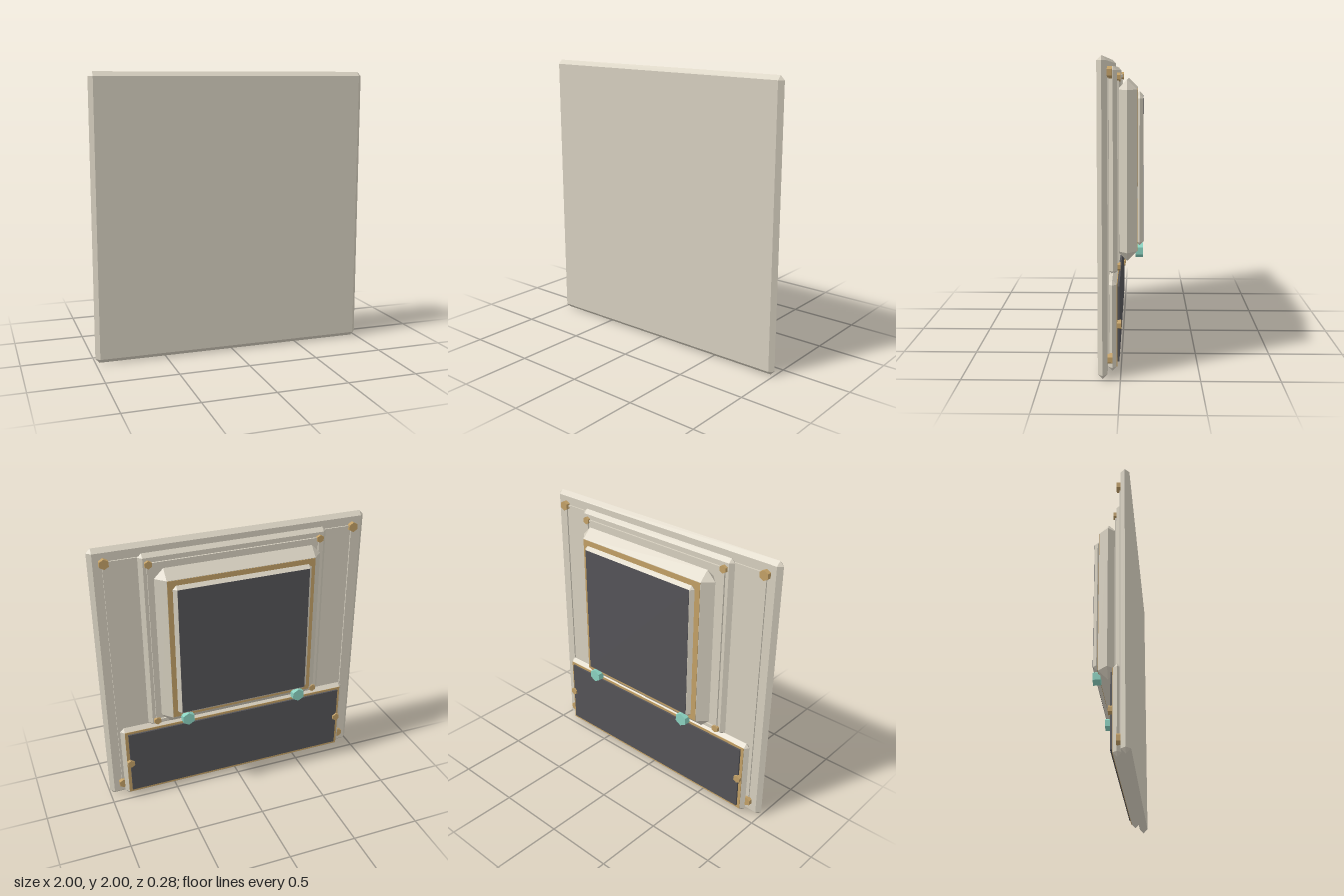
import * as THREE from 'three';
import { ConvexGeometry } from 'three/addons/geometries/ConvexGeometry.js';

const mat = (name, color) => {
  const m = new THREE.MeshStandardMaterial({ color });
  m.name = name;
  return m;
};

// Box with every edge cut by a chamfer b; the ends meet in a ridge when b is half the depth
function chamferBox(w, h, d, b) {
  const X = w / 2, Y = h / 2, Z = d / 2, pts = new Map();
  for (const i of [-1, 1]) for (const j of [-1, 1]) for (const k of [-1, 1]) {
    for (const p of [[X, Y - b, Z - b], [X - b, Y, Z - b], [X - b, Y - b, Z]]) {
      const v = new THREE.Vector3(i * p[0], j * p[1], k * p[2]);
      pts.set(v.toArray().map(n => Math.round(n * 1e4) + 0).join(), v);
    }
  }
  return new ConvexGeometry([...pts.values()]);
}

export function createModel() {
  const group = new THREE.Group();
  group.name = 'wallPanel';
  const cream = mat('cream', 0xd6cfbf);
  const brass = mat('brass', 0xc2a066);
  const dark = mat('darkGlass', 0x545357);
  const teal = mat('teal', 0x8ad2c0);

  const add = (name, geo, material, x, y, z) => {
    const mesh = new THREE.Mesh(geo, material);
    mesh.name = name;
    mesh.position.set(x, y, z);
    group.add(mesh);
  };
  // Slabs given by half width, y range and z range
  const slab = (name, hw, y0, y1, z0, z1) => add(name,
    chamferBox(hw * 2, y1 - y0, z1 - z0, (z1 - z0) / 2 - 1e-5), cream, 0, (y0 + y1) / 2, (z0 + z1) / 2);
  const plate = (name, material, hw, y0, y1, z0, z1) => add(name,
    new THREE.BoxGeometry(hw * 2, y1 - y0, z1 - z0), material, 0, (y0 + y1) / 2, (z0 + z1) / 2);
  // Six-sided studs along z, mirrored left and right
  const studs = (name, material, r, x, y, z0, z1) => {
    const geo = new THREE.CylinderGeometry(r, r, z1 - z0, 6).rotateX(Math.PI / 2).toNonIndexed();
    geo.computeVertexNormals();
    for (const s of [-1, 1]) add(name, geo, material, s * x, y, (z0 + z1) / 2);
  };
  // Thin raised trim around a rectangle
  const trim = (name, hw, y0, y1, z0, z1, t) => {
    const d = z1 - z0, z = (z0 + z1) / 2;
    for (const s of [-1, 1])
      add(name, new THREE.BoxGeometry(t, y1 - y0, d), cream, s * hw, (y0 + y1) / 2, z);
    for (const y of [y0, y1])
      add(name, new THREE.BoxGeometry(hw * 2 + t, t, d), cream, 0, y, z);
  };

  // Main board and its corner bolts
  slab('mainBoard', 1, 0, 2, 0.082, 0.142);
  trim('boardTrim', 0.9, 0.11, 1.9, 0.072, 0.084, 0.018);
  for (const y of [0.11, 1.9]) studs('boardBolt', brass, 0.036, 0.9, y, 0.052, 0.084);

  // Upper backing panel with trim and small bolts
  slab('upperPanel', 0.68, 0.59, 1.94, 0.028, 0.082);
  trim('upperTrim', 0.62, 0.64, 1.87, 0.016, 0.03, 0.018);
  for (const y of [0.64, 1.87]) studs('upperBolt', brass, 0.028, 0.62, y, 0.007, 0.03);

  // Raised upper display
  slab('displayHousing', 0.6, 0.655, 1.855, -0.101, 0.032);
  plate('displayBorder', brass, 0.532, 0.724, 1.786, -0.104, -0.1);
  slab('displayBezel', 0.5, 0.75, 1.755, -0.14, -0.092);
  plate('displayScreen', dark, 0.475, 0.774, 1.731, -0.142, -0.138);
  studs('knob', teal, 0.049, 0.43, 0.708, -0.142, -0.09);

  // Lower display
  slab('lowerPanel', 0.895, 0.015, 0.61, 0.026, 0.082);
  plate('lowerBorder', brass, 0.868, 0.042, 0.583, 0.023, 0.03);
  plate('lowerScreen', dark, 0.845, 0.067, 0.565, 0.01, 0.026);
  studs('lowerBolt', brass, 0.03, 0.842, 0.315, -0.002, 0.028);

  return group;
}
